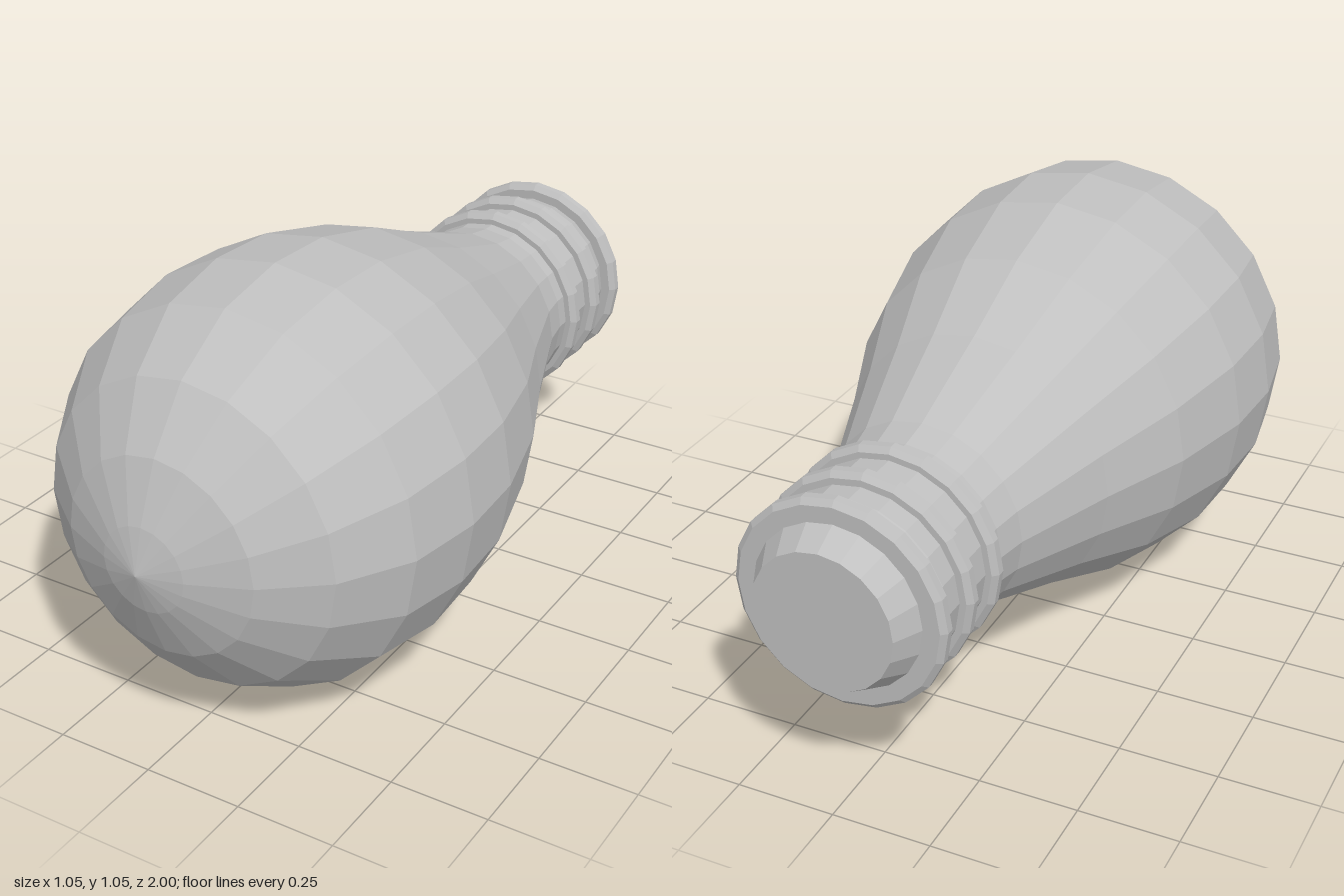
import * as THREE from 'three';

const SIDES = 20;
const AXIS_HEIGHT = 0.527;

// Faceted lathe turned so that its axis lies along z; points are [radius, z]
function turned(name, points, material) {
  const profile = points.map(([r, z]) => new THREE.Vector2(r, z));
  const geometry = new THREE.LatheGeometry(profile, SIDES);
  geometry.rotateX(Math.PI / 2);
  const mesh = new THREE.Mesh(geometry, material);
  mesh.name = name;
  return mesh;
}

export function createModel() {
  const grey = new THREE.MeshStandardMaterial({ color: 0xbfbfbf, flatShading: true });
  grey.name = 'light grey';

  const bulb = new THREE.Group();
  bulb.name = 'lightBulb';
  bulb.position.y = AXIS_HEIGHT;

  // Socket neck with tapered, flat end
  bulb.add(turned('neck', [
    [0, -1], [0.175, -1], [0.222, -0.91], [0.235, -0.86], [0.238, -0.6], [0.253, -0.52],
  ], grey));

  // Pear-shaped glass with a rounded front
  bulb.add(turned('glass', [
    [0.253, -0.52], [0.353, -0.25], [0.455, -0.01], [0.517, 0.23], [0.527, 0.43],
    [0.493, 0.63], [0.39, 0.8], [0.25, 0.91], [0.108, 0.97], [0, 1],
  ], grey));

  // Three thread rings around the neck
  for (const z of [-0.658, -0.784, -0.91]) {
    bulb.add(turned('threadRing', [
      [0.2, z - 0.022], [0.252, z - 0.022], [0.266, z - 0.01],
      [0.266, z + 0.01], [0.252, z + 0.022], [0.2, z + 0.022],
    ], grey));
  }

  const model = new THREE.Group();
  model.name = 'model';
  model.add(bulb);
  return model;
}
